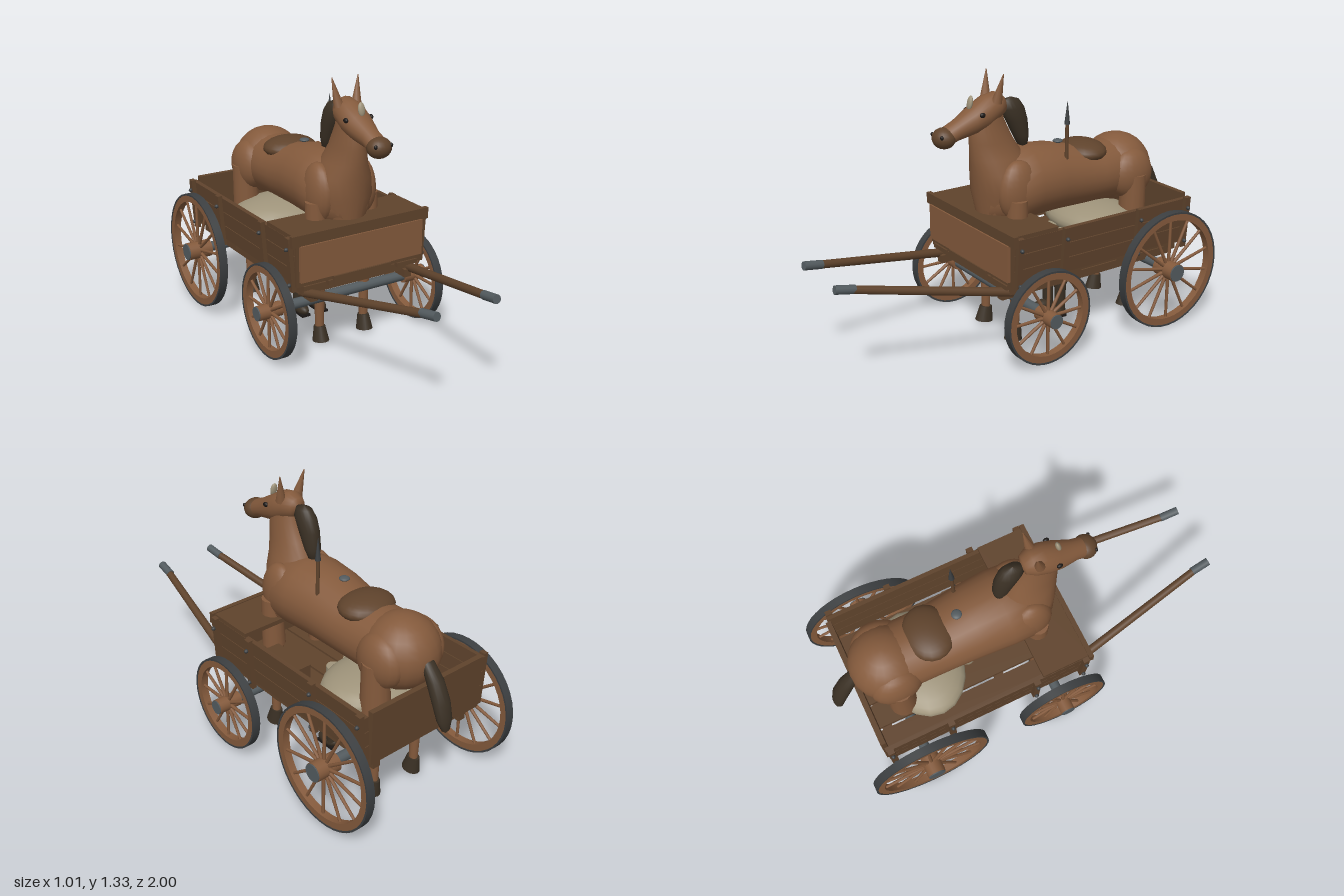
import * as THREE from 'three';
import { toCreasedNormals } from 'three/addons/utils/BufferGeometryUtils.js';

const material = (name, color) => {
  const m = new THREE.MeshStandardMaterial({ color });
  m.name = name;
  return m;
};

// Smooth skin through elliptical rings: [position on axis, offset, rx, r]
function loft(rings, axis, sides = 18) {
  const pos = [], idx = [];
  rings.forEach(([t, c, rx, r], i) => {
    for (let j = 0; j < sides; j++) {
      const a = (j / sides) * Math.PI * 2, x = rx * Math.cos(a), s = r * Math.sin(a);
      if (axis === 'z') pos.push(x, c + s, t);
      else pos.push(x, t, c - s);
      if (i === rings.length - 1) continue;
      const p = i * sides + j, q = i * sides + ((j + 1) % sides);
      idx.push(p, q, p + sides, q, q + sides, p + sides);
    }
  });
  const g = new THREE.BufferGeometry();
  g.setAttribute('position', new THREE.Float32BufferAttribute(pos, 3));
  g.setIndex(idx);
  g.computeVertexNormals();
  return g;
}

export function createModel() {
  const root = new THREE.Group();
  root.name = 'horseAndCart';
  const coat = material('chestnut', 0x845a3c), wood = material('dark wood', 0x5f432c);
  const steel = material('steel', 0x535b5f), iron = material('dark iron', 0x3c3f41);
  const dark = material('dark hair', 0x3a3024), linen = material('linen', 0x9e937a);
  const black = material('black', 0x1c1816);

  const add = (name, geo, mat, x = 0, y = 0, z = 0, parent = root) => {
    const m = new THREE.Mesh(geo, mat);
    m.name = name;
    m.position.set(x, y, z);
    parent.add(m);
    return m;
  };
  const box = (name, mat, w, h, d, x, y, z, parent) =>
    add(name, new THREE.BoxGeometry(w, h, d), mat, x, y, z, parent);
  const ball = (name, mat, rx, ry, rz, x, y, z, parent) => {
    const m = add(name, new THREE.SphereGeometry(1, 20, 14), mat, x, y, z, parent);
    m.scale.set(rx, ry, rz);
    return m;
  };
  const rod = (name, mat, a, b, r0, r1 = r0, sides = 12, parent = root) => {
    const p = new THREE.Vector3(...a), q = new THREE.Vector3(...b), d = q.clone().sub(p);
    const m = add(name, new THREE.CylinderGeometry(r1, r0, d.length(), sides), mat, 0, 0, 0, parent);
    m.position.copy(p).add(q).multiplyScalar(0.5);
    m.quaternion.setFromUnitVectors(new THREE.Vector3(0, 1, 0), d.normalize());
    return m;
  };
  const band = (r0, r1, w) => {
    const pts = [[r0, -w], [r1, -w], [r1, w], [r0, w], [r0, -w]].map(p => new THREE.Vector2(...p));
    return toCreasedNormals(new THREE.LatheGeometry(pts, 40), 0.6).rotateZ(Math.PI / 2);
  };

  // Wheels and axles
  function wheel(name, x, y, z, R, hubR, spokes) {
    const g = new THREE.Group();
    g.name = name;
    g.position.set(x, y, z);
    root.add(g);
    const out = Math.sign(x);
    add('tyre', band(R - 0.009, R, 0.021), iron, 0, 0, 0, g);
    add('rim', band(R - 0.042, R - 0.008, 0.019), coat, 0, 0, 0, g);
    rod('hub', coat, [-0.063, 0, 0], [0.063, 0, 0], hubR, hubR, 20, g);
    rod('hubCap', steel, [out * 0.055, 0, 0], [out * 0.068, 0, 0], hubR * 0.95, hubR * 0.95, 20, g);
    for (let i = 0; i < spokes; i++) {
      const a = (i / spokes) * Math.PI * 2, c = Math.cos(a), s = Math.sin(a);
      rod('spoke', coat, [0, c * 0.02, s * 0.02], [0, c * (R - 0.03), s * (R - 0.03)], 0.009, 0.007, 8, g);
    }
  }
  for (const s of [-1, 1]) {
    wheel('frontWheel', s * 0.422, 0.238, 0.05, 0.234, 0.037, 12);
    wheel('rearWheel', s * 0.437, 0.307, -0.685, 0.303, 0.046, 14);
  }
  rod('frontAxle', steel, [-0.4, 0.24, 0.05], [0.4, 0.24, 0.05], 0.026);
  rod('rearAxle', steel, [-0.42, 0.31, -0.685], [0.42, 0.31, -0.685], 0.026);

  // Cart floor and frame
  for (const x of [-0.265, -0.13, 0, 0.13, 0.265])
    box('floorPlank', wood, 0.12, 0.022, 1.08, x, 0.39, -0.32);
  for (const z of [0.17, -0.2, -0.5, -0.81]) box('crossBeam', wood, 0.64, 0.035, 0.05, 0, 0.365, z);

  // Side walls, splayed slightly outwards, with posts and bolts
  for (const s of [-1, 1]) {
    const side = new THREE.Group();
    side.name = 'sideWall';
    side.position.set(s * 0.352, 0.51, -0.33);
    side.rotation.z = -s * 0.07;
    root.add(side);
    for (const y of [-0.067, 0.01, 0.087])
      box('sidePlank', wood, 0.022, 0.073, 1.06, 0, y, 0, side);
    for (const z of [0.51, 0.25, -0.2, -0.51]) {
      box('post', wood, 0.024, 0.27, 0.032, s * 0.02, 0, z, side);
      for (const y of [-0.1, 0.08]) ball('bolt', iron, 0.012, 0.01, 0.01, s * 0.036, y, z, side);
    }
    box('chassisRail', wood, 0.04, 0.04, 1.06, s * 0.27, 0.335, -0.31);
    // Draught shafts
    rod('shaft', wood, [s * 0.3, 0.345, 0.15], [s * 0.165, 0.507, 0.93], 0.022, 0.019);
    rod('shaftTip', steel, [s * 0.167, 0.503, 0.905], [s * 0.159, 0.52, 0.998], 0.021);
  }

  // Front and back ends, seat board
  box('frontPanel', coat, 0.69, 0.18, 0.02, 0, 0.515, 0.218);
  box('frontBoard', wood, 0.72, 0.25, 0.022, 0, 0.525, 0.2);
  box('frontTopRail', wood, 0.77, 0.055, 0.024, 0, 0.63, 0.208);
  box('footRail', wood, 0.33, 0.04, 0.02, 0, 0.4, 0.218);
  box('seatBoard', wood, 0.74, 0.022, 0.25, 0, 0.642, 0.083);
  box('backBoard', wood, 0.67, 0.27, 0.026, 0, 0.515, -0.858);
  box('crate', wood, 0.1, 0.13, 0.24, 0.23, 0.465, -0.17);
  ball('sack', linen, 0.285, 0.09, 0.21, 0, 0.495, -0.535);

  // Horse trunk, rump, neck and head
  add('horseBody', loft([
    [-0.84, 0.72, 0.001, 0.001], [-0.81, 0.73, 0.11, 0.11], [-0.72, 0.74, 0.15, 0.15],
    [-0.62, 0.74, 0.165, 0.158], [-0.5, 0.74, 0.167, 0.15], [-0.4, 0.745, 0.17, 0.155],
    [-0.25, 0.765, 0.182, 0.172], [-0.1, 0.77, 0.193, 0.18], [0, 0.76, 0.19, 0.18],
    [0.08, 0.74, 0.15, 0.15], [0.14, 0.72, 0.08, 0.1], [0.155, 0.72, 0.001, 0.001],
  ], 'z', 24), coat);
  ball('rump', coat, 0.18, 0.178, 0.18, 0, 0.74, -0.688);
  add('neck', loft([
    [0.6, 0.02, 0.1, 0.13], [0.75, 0.035, 0.15, 0.14], [0.85, 0.04, 0.135, 0.145],
    [0.92, 0.055, 0.1, 0.14], [1.0, 0.085, 0.078, 0.115], [1.1, 0.11, 0.065, 0.09],
    [1.18, 0.1, 0.055, 0.06],
  ], 'y', 24), coat);
  add('head', loft([
    [0.015, 1.165, 0.001, 0.001], [0.025, 1.165, 0.045, 0.045], [0.065, 1.163, 0.068, 0.069],
    [0.13, 1.138, 0.075, 0.08], [0.2, 1.11, 0.069, 0.066], [0.28, 1.077, 0.05, 0.05],
    [0.33, 1.056, 0.05, 0.048], [0.36, 1.052, 0.03, 0.03],
  ], 'z', 20), coat);
  ball('muzzle', wood, 0.06, 0.05, 0.055, 0, 1.05, 0.343);
  const blaze = ball('forelock', linen, 0.018, 0.034, 0.012, 0, 1.195, 0.2);
  blaze.rotation.x = -0.2;
  for (const s of [-1, 1]) {
    rod('ear', coat, [s * 0.048, 1.19, 0.085], [s * 0.072, 1.325, 0.062], 0.026, 0.002, 10);
    ball('eye', black, 0.01, 0.012, 0.015, s * 0.069, 1.147, 0.175);
    ball('nostril', black, 0.009, 0.01, 0.008, s * 0.042, 1.065, 0.378);
    ball('shoulder', coat, 0.07, 0.15, 0.11, s * 0.115, 0.765, 0.01);
    ball('haunch', coat, 0.085, 0.13, 0.13, s * 0.118, 0.73, -0.685);
  }

  // Mane and tail
  add('mane', loft([
    [0.94, -0.095, 0.001, 0.001], [0.955, -0.095, 0.028, 0.025], [1.0, -0.085, 0.04, 0.04],
    [1.08, -0.06, 0.045, 0.057], [1.14, -0.035, 0.044, 0.065], [1.18, -0.025, 0.03, 0.046],
    [1.195, -0.025, 0.001, 0.001],
  ], 'y'), dark);
  add('tail', loft([
    [0.455, -0.982, 0.001, 0.001], [0.47, -0.98, 0.022, 0.014], [0.52, -0.968, 0.042, 0.026],
    [0.6, -0.94, 0.045, 0.038], [0.69, -0.895, 0.04, 0.042], [0.76, -0.845, 0.03, 0.03],
    [0.78, -0.83, 0.001, 0.001],
  ], 'y'), dark);

  // Horse legs and hooves
  for (const s of [-1, 1]) for (const [z, r] of [[0.035, 0.05], [-0.685, 0.062]]) {
    const x = s * 0.15, foot = s * 0.13;
    rod('upperLeg', coat, [s * 0.14, 0.48, z], [x, 0.735, z], r * 1.15, r, 14);
    rod('lowerLeg', coat, [foot, 0.22, z], [s * 0.138, 0.5, z], 0.024, 0.05, 14);
    ball('knee', coat, 0.028, 0.035, 0.03, foot, 0.24, z);
    rod('shin', coat, [foot, 0.06, z], [foot, 0.23, z], 0.021, 0.026, 14);
    const hoof = rod('hoof', dark, [foot, 0.003, z + 0.012], [foot, 0.08, z], 0.04, 0.027, 14);
    hoof.scale.z = 1.2;
  }

  // Saddle and ring
  ball('saddle', wood, 0.142, 0.058, 0.118, 0, 0.862, -0.46);
  ball('saddleRing', steel, 0.025, 0.01, 0.025, 0, 0.932, -0.31);

  // Rider's legs hanging through the floor
  for (const s of [-1, 1]) {
    const x = s * 0.053;
    rod('trouserLeg', linen, [x, 0.24, -0.3], [x, 0.48, -0.31], 0.029, 0.037, 14);
    rod('boot', dark, [x, 0.03, -0.305], [x, 0.27, -0.3], 0.026, 0.034, 14);
    rod('bootCuff', dark, [x, 0.19, -0.302], [x, 0.205, -0.302], 0.036, 0.036, 14);
    ball('bootFoot', dark, 0.031, 0.03, 0.062, x, 0.032, -0.275);
    box('sole', black, 0.05, 0.012, 0.11, x, 0.008, -0.275);
  }

  // Spear
  rod('spearShaft', wood, [0.125, 0.7, -0.27], [0.125, 1.06, -0.27], 0.009);
  rod('spearHead', iron, [0.125, 1.05, -0.27], [0.125, 1.16, -0.27], 0.014, 0.001, 8);

  return root;
}
